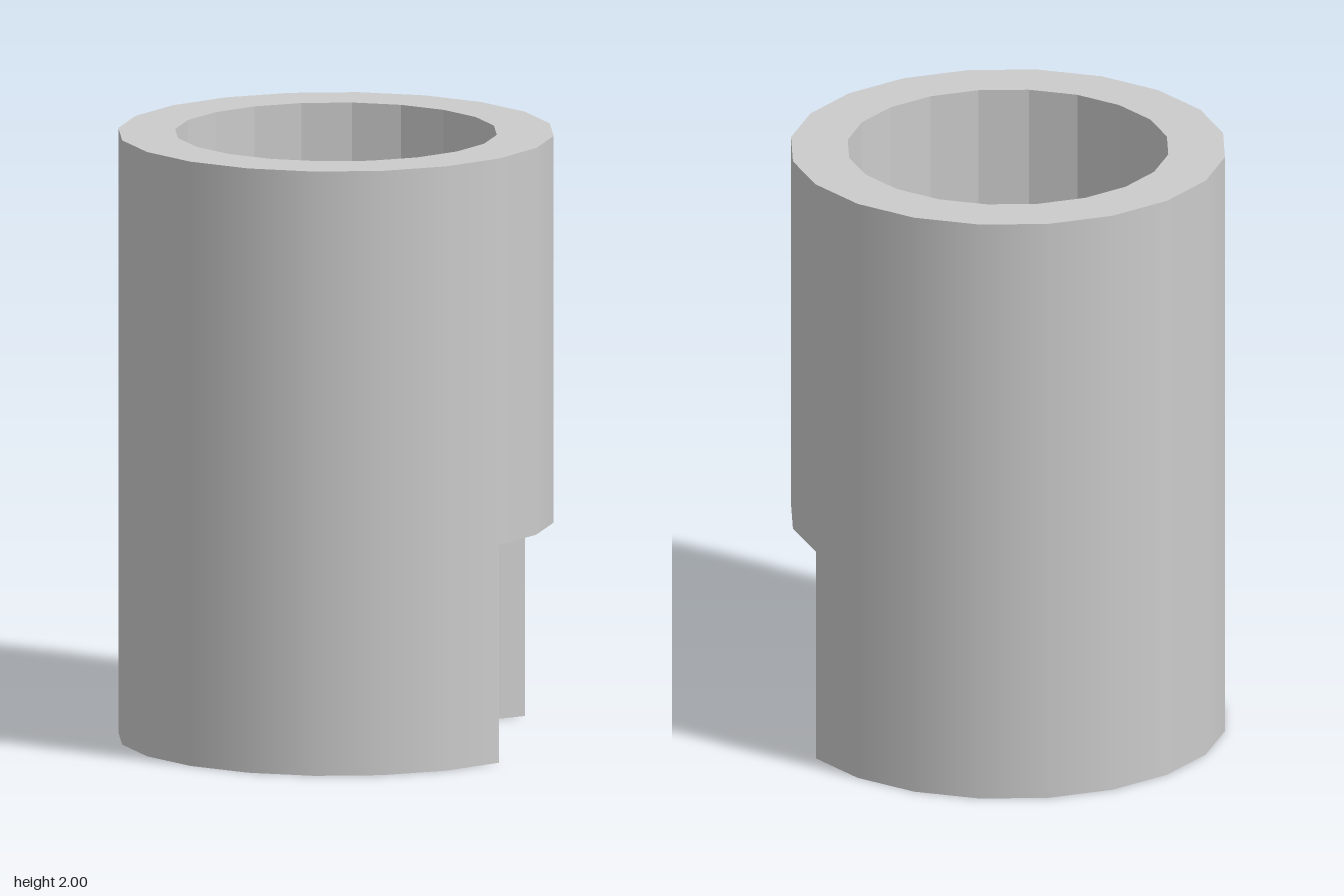
import * as THREE from 'three';

const SIDES = 20, OUTER = 0.712, INNER = 0.526, HEIGHT = 2;
const NOTCH_HEIGHT = 0.72, NOTCH_HALF = 2; // notch spans this many sides either way of +x

const point = (r, i, y) => {
  const t = (i * 2 * Math.PI) / SIDES;
  return new THREE.Vector3(r * Math.cos(t), y, r * Math.sin(t));
};

// Builds a mesh from four-cornered faces; round = smooth normals pointing out from the axis
function quadMesh(name, quads, round = false) {
  const corners = quads.flatMap(([a, b, c, d]) => [a, b, c, a, c, d]);
  const geometry = new THREE.BufferGeometry().setFromPoints(corners);
  geometry.computeVertexNormals();
  if (round) {
    const normal = geometry.attributes.normal;
    corners.forEach((p, k) => {
      const n = new THREE.Vector3(p.x, 0, p.z).normalize();
      normal.setXYZ(k, n.x, n.y, n.z);
    });
  }
  const mesh = new THREE.Mesh(geometry, new THREE.MeshStandardMaterial({ color: 0xcccccc }));
  mesh.name = name;
  return mesh;
}

export function createModel() {
  const outer = [], inner = [], rims = [], notchSides = [];

  // Tube wall, one side at a time, raised off the ground over the notch
  for (let i = -NOTCH_HALF; i < SIDES - NOTCH_HALF; i++) {
    const j = i + 1;
    const low = i < NOTCH_HALF ? NOTCH_HEIGHT : 0;
    outer.push([point(OUTER, j, low), point(OUTER, i, low), point(OUTER, i, HEIGHT), point(OUTER, j, HEIGHT)]);
    inner.push([point(INNER, i, low), point(INNER, j, low), point(INNER, j, HEIGHT), point(INNER, i, HEIGHT)]);
    const ring = (y) => [point(INNER, j, y), point(OUTER, j, y), point(OUTER, i, y), point(INNER, i, y)];
    rims.push(ring(HEIGHT), ring(low).reverse());
  }

  // Upright radial faces at both ends of the notch
  for (const i of [NOTCH_HALF, -NOTCH_HALF]) {
    const face = [point(OUTER, i, 0), point(INNER, i, 0), point(INNER, i, NOTCH_HEIGHT), point(OUTER, i, NOTCH_HEIGHT)];
    notchSides.push(i > 0 ? face : face.reverse());
  }

  const group = new THREE.Group();
  group.name = 'notchedTube';
  group.add(
    quadMesh('outerWall', outer, true),
    quadMesh('innerWall', inner),
    quadMesh('rims', rims),
    quadMesh('notchSides', notchSides),
  );
  return group;
}
